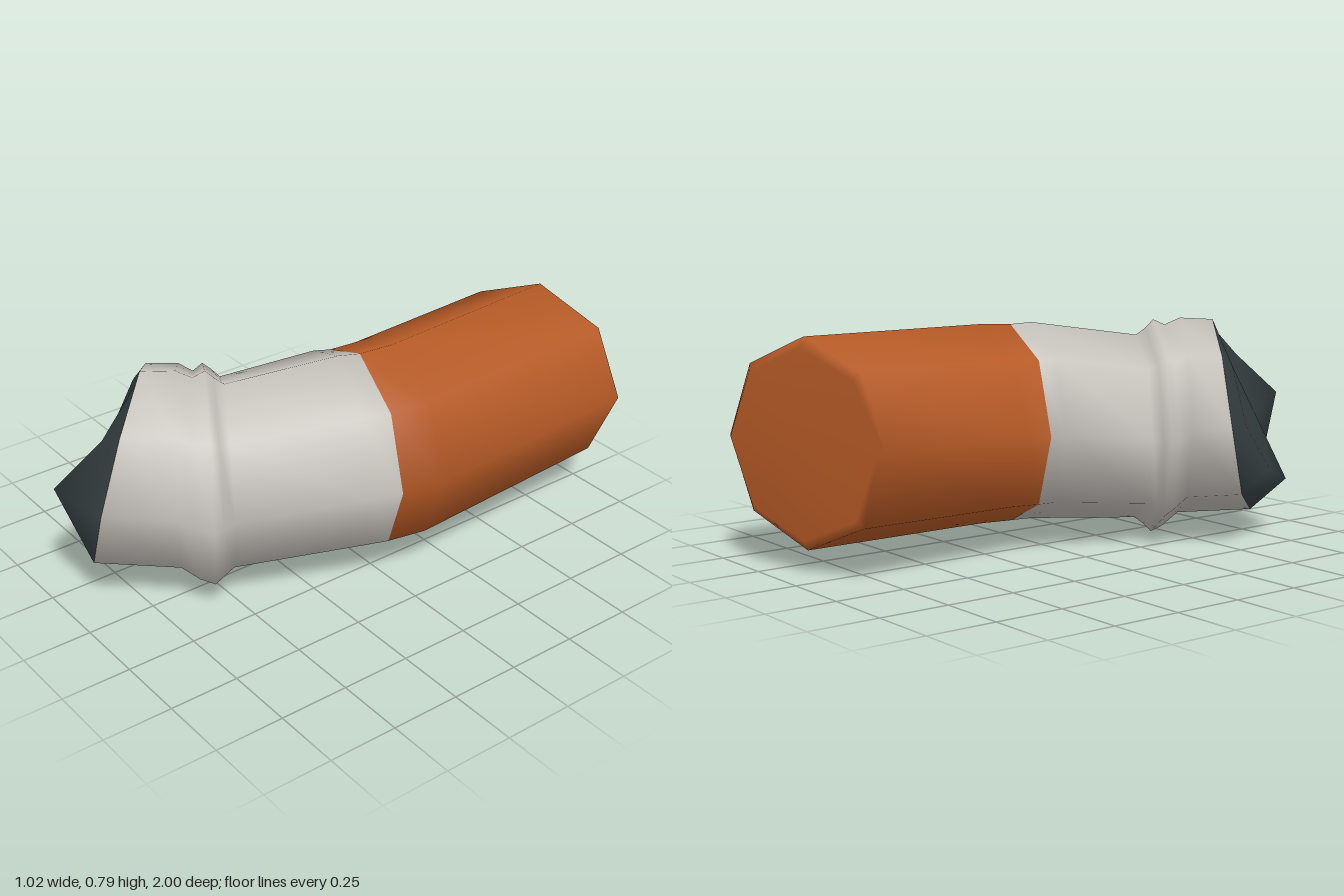
import * as THREE from 'three';

const SIDES = 8;

// Octagonal ring from its two side points (x, z) and its lowest and highest y
function ring([x0, z0, x1, z1, yLow, yHigh]) {
  const points = [];
  for (let i = 0; i < SIDES; i++) {
    const a = (i / SIDES) * Math.PI * 2;
    points.push([
      (x0 + x1) / 2 + ((x1 - x0) / 2) * Math.cos(a),
      (yLow + yHigh) / 2 + ((yHigh - yLow) / 2) * Math.sin(a),
      (z0 + z1) / 2 + ((z1 - z0) / 2) * Math.cos(a),
    ]);
  }
  return points;
}

// Smooth skin over rings running back to front, with optional end cap centres
function loft(name, rings, material, { back, front } = {}) {
  const positions = rings.flat(2);
  const index = [];
  for (let k = 0; k < rings.length - 1; k++) {
    for (let i = 0; i < SIDES; i++) {
      const j = (i + 1) % SIDES;
      const a = k * SIDES + i, b = k * SIDES + j;
      index.push(a, b, b + SIDES, a, b + SIDES, a + SIDES);
    }
  }
  const cap = (centre, start, flip) => {
    const c = positions.length / 3;
    positions.push(...centre);
    for (let i = 0; i < SIDES; i++) {
      const a = start + i, b = start + ((i + 1) % SIDES);
      if (flip) index.push(c, b, a);
      else index.push(c, a, b);
    }
  };
  if (back) cap(back, 0, true);
  if (front) cap(front, (rings.length - 1) * SIDES, false);

  const geometry = new THREE.BufferGeometry();
  geometry.setAttribute('position', new THREE.Float32BufferAttribute(positions, 3));
  geometry.setIndex(index);
  geometry.computeVertexNormals();
  const mesh = new THREE.Mesh(geometry, material);
  mesh.name = name;
  return mesh;
}

export function createModel() {
  const orange = new THREE.MeshStandardMaterial({ name: 'filterOrange', color: 0xb65a26 });
  const grey = new THREE.MeshStandardMaterial({ name: 'paperGrey', color: 0xc4c0ba });
  const dark = new THREE.MeshStandardMaterial({ name: 'ashDark', color: 0x343e3f });

  const seam = ring([-0.21, -0.12, 0.48, 0.05, 0.07, 0.78]);

  // Slanted burnt edge, counter-clockwise from the +x side
  const burntEdge = [
    [0.01, 0.435, 0.93], [-0.025, 0.68, 0.82], [-0.2, 0.785, 0.63], [-0.41, 0.68, 0.48],
    [-0.51, 0.435, 0.44], [-0.47, 0.19, 0.53], [-0.3, 0.085, 0.74], [-0.1, 0.19, 0.91],
  ];
  // Uneven face of the ash
  const ashFace = [
    [-0.165, 0.485, 1.0], [-0.11, 0.635, 0.84], [-0.2, 0.74, 0.65], [-0.4, 0.64, 0.54],
    [-0.495, 0.44, 0.52], [-0.485, 0.27, 0.65], [-0.4, 0.205, 0.82], [-0.2, 0.255, 0.9],
  ];

  const model = new THREE.Group();
  model.name = 'bentStub';

  // Filter with a small bevel at the closed end
  model.add(loft('filter', [
    ring([-0.2, -0.81, 0.42, -1.0, 0.115, 0.755]),
    ring([-0.225, -0.79, 0.46, -0.98, 0.08, 0.79]),
    ring([-0.195, -0.21, 0.51, -0.1, 0.07, 0.785]),
    seam,
  ], orange, { back: [0.11, 0.435, -0.905] }));

  // Paper body with a crumpled bulge near the tip
  model.add(loft('paper', [
    seam,
    ring([-0.23, -0.07, 0.45, 0.15, 0.073, 0.785]),
    ring([-0.335, 0.23, 0.25, 0.57, 0.055, 0.73]),
    ring([-0.385, 0.235, 0.26, 0.62, 0.03, 0.755]),
    ring([-0.405, 0.255, 0.26, 0.655, 0, 0.785]),
    ring([-0.39, 0.3, 0.21, 0.69, 0.02, 0.765]),
    ring([-0.42, 0.335, 0.17, 0.74, 0.07, 0.79]),
    burntEdge,
  ], grey));

  // Burnt tip
  model.add(loft('ash', [burntEdge, ashFace], dark, { front: [-0.31, 0.45, 0.74] }));

  return model;
}
